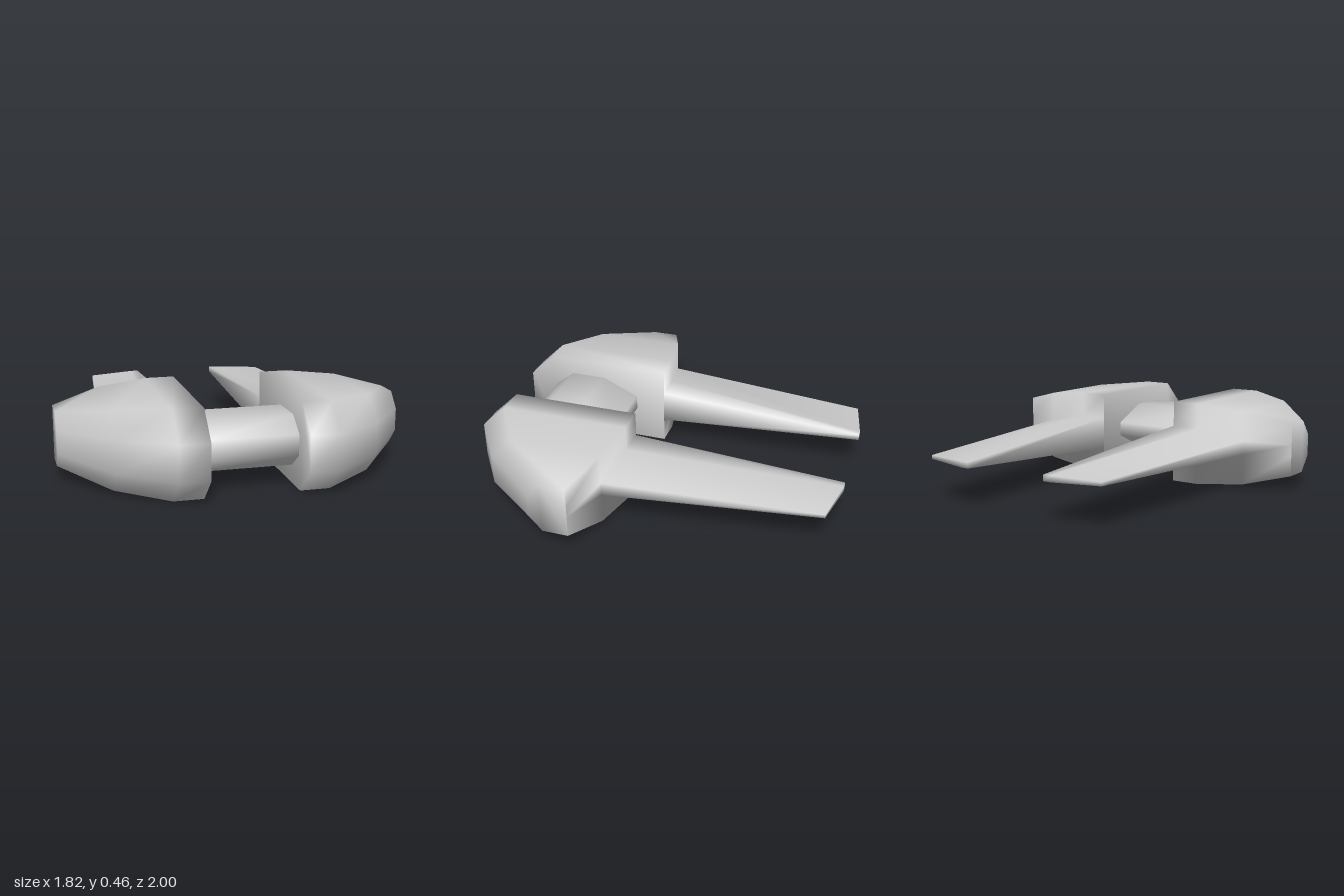
import * as THREE from 'three';

const MID = 0.2275; // height of the horizontal symmetry plane
const material = new THREE.MeshStandardMaterial({ color: 0xcccccc });

// Smooth mesh from shared corners and quads; side = -1 mirrors it across x
function quadMesh(name, points, quads, side = 1) {
  const geometry = new THREE.BufferGeometry();
  const position = points.flatMap(([x, y, z]) => [x * side, y, z]);
  geometry.setAttribute('position', new THREE.Float32BufferAttribute(position, 3));
  geometry.setIndex(quads.flatMap((quad) => {
    const [a, b, c, d] = side > 0 ? quad : [...quad].reverse();
    return [a, b, c, a, c, d];
  }));
  geometry.computeVertexNormals();
  const mesh = new THREE.Mesh(geometry, material);
  mesh.name = name;
  return mesh;
}

// Quads joining two rings, given as lists of point indices
function strip(ringA, ringB) {
  return ringA.map((a, i) => {
    const j = (i + 1) % ringA.length;
    return [a, ringB[i], ringB[j], ringA[j]];
  });
}

// Pod with its tail fin: cross-sections running outwards from the inner wall
function pod(name, side) {
  // x, back z, half height, fin half height, front z, chamfer z, nose half height, fin tip x and z, tip half height
  const sections = [
    [0.245, 0.155, 0.2275, 0.09, 1.0, 0.86, 0.0925, 0.245, -1.0, 0.016],
    [0.4, 0.155, 0.2275, 0.09, 1.0, 0.86, 0.0925, 0.285, -1.0, 0.016],
    [0.665, 0.2, 0.204, 0.037, 0.82, 0.7, 0.083, 0.55, -0.95, 0.01],
    [0.912, 0.29, 0.143, 0.03, 0.5, 0.43, 0.06, 0.912, 0.29, 0.01],
  ];
  const points = sections.flatMap(([x, back, h, root, front, chamfer, nose, tipX, tipZ, tip]) => [
    [x, MID + h, back],
    [x, MID + root, back],
    [tipX, MID + tip, tipZ],
    [tipX, MID - tip, tipZ],
    [x, MID - root, back],
    [x, MID - h, back],
    [x, MID - h, chamfer],
    [x, MID - nose, front],
    [x, MID + nose, front],
    [x, MID + h, chamfer],
  ]);
  const full = [0, 1, 2, 3, 4, 5, 6, 7, 8, 9];
  const finless = [0, 1, 4, 5, 6, 7, 8, 9];
  const wall = [[0, 1, 4, 5], [0, 5, 6, 9], [9, 6, 7, 8]];
  const at = (ring, section) => ring.map((i) => i + section * 10);
  const quads = [
    ...strip(at(full, 0), at(full, 1)),
    ...strip(at(full, 1), at(full, 2)),
    ...strip(at(finless, 2), at(finless, 3)),
    ...wall, [1, 2, 3, 4], // inner wall, with the fin's flank
    at([4, 3, 2, 1], 2), // outer edge of the fin
    ...wall.map((quad) => at([...quad].reverse(), 3)), // outer end
  ];
  return quadMesh(name, points, quads, side);
}

// Bridge between the pods: chamfered at the front, tapering to a thin rear edge
function bridge() {
  const profile = [ // z and half height, back to front
    [0.325, 0.04], [0.53, 0.1325], [0.73, 0.1325], [0.83, 0.055],
  ];
  const ring = [
    ...[...profile].reverse().map(([z, h]) => [z, MID + h]),
    ...profile.map(([z, h]) => [z, MID - h]),
  ];
  const points = [-0.245, 0.245].flatMap((x) => ring.map(([z, y]) => [x, y, z]));
  const left = ring.map((_, i) => i);
  const right = left.map((i) => i + ring.length);
  const ends = [[0, 1, 6, 7], [1, 2, 5, 6], [2, 3, 4, 5]];
  return quadMesh('bridge', points, [
    ...strip(left, right),
    ...ends,
    ...ends.map((quad) => quad.map((i) => i + ring.length).reverse()),
  ]);
}

export function createModel() {
  const model = new THREE.Group();
  model.name = 'twinPodCraft';
  model.add(pod('leftPodWithFin', 1), pod('rightPodWithFin', -1), bridge());
  return model;
}
